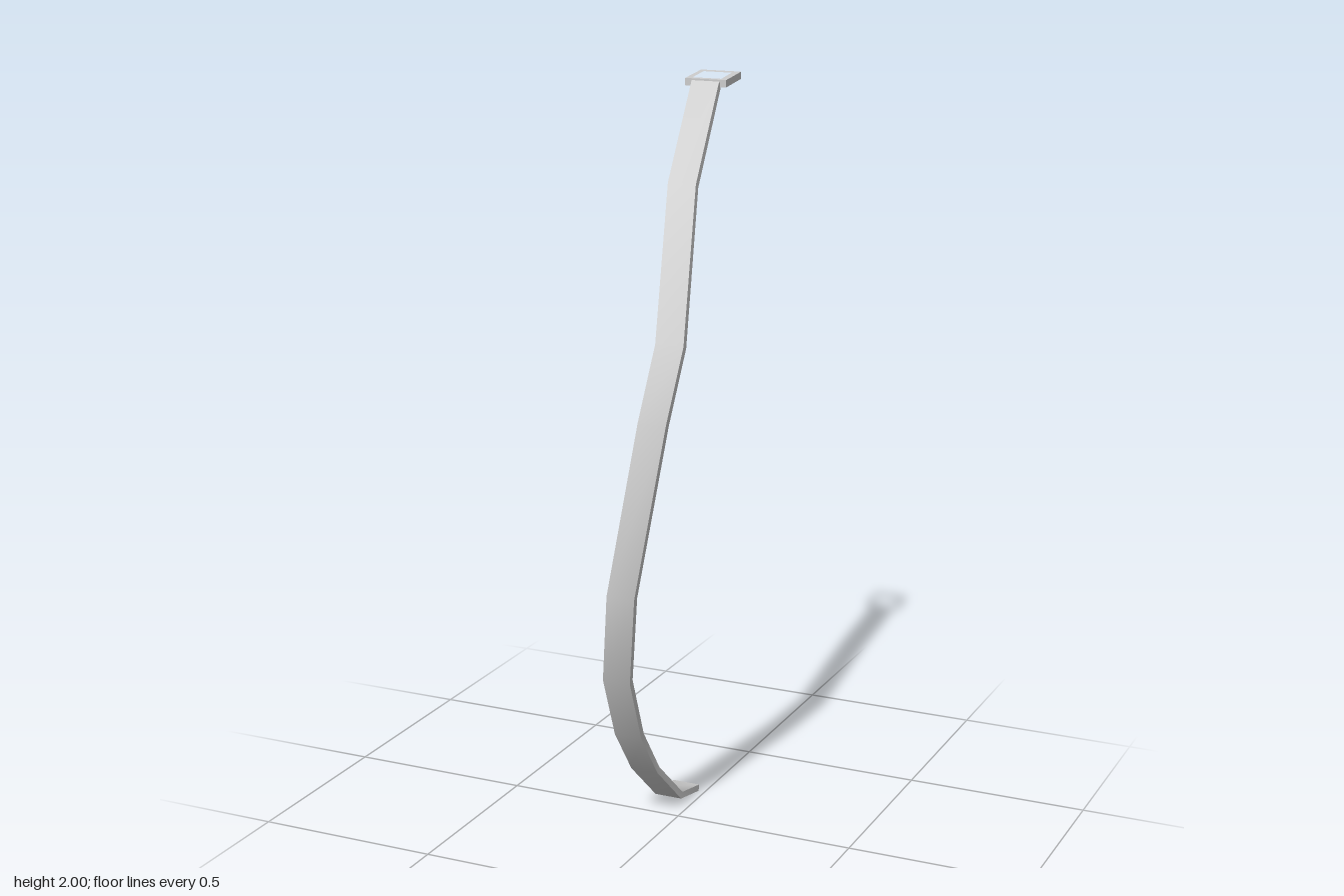
import * as THREE from 'three';
import { toCreasedNormals } from 'three/addons/utils/BufferGeometryUtils.js';

const HALF_WIDTH = 0.039, HALF_THICK = 0.009;

// Strap centreline stations, from the foot to the buckle: [x, y, z]
const STATIONS = [
  [-0.058, 0.013, -0.182], [-0.058, 0.036, -0.066], [-0.073, 0.156, 0.055],
  [-0.07, 0.294, 0.16], [-0.056, 0.482, 0.256], [-0.01, 0.738, 0.323],
  [0.053, 1.187, 0.266], [0.07, 1.375, 0.198], [0.022, 1.752, 0.018],
  [-0.01, 1.984, -0.198],
].map((p) => new THREE.Vector3(...p));

// Flat rectangular section swept along the stations, width kept along x
function strapGeometry() {
  const pos = [], index = [], n = STATIONS.length;
  // outward normal of segment i in the yz plane
  const segNormal = (i) => {
    const d = STATIONS[i + 1].clone().sub(STATIONS[i]);
    return new THREE.Vector3(0, -d.z, d.y).normalize();
  };
  STATIONS.forEach((p, i) => {
    const a = segNormal(Math.max(i - 1, 0)), b = segNormal(Math.min(i, n - 2));
    const m = a.clone().add(b).normalize();
    m.multiplyScalar(HALF_THICK / m.dot(a)); // mitred joint
    for (const [sx, so] of [[-1, 1], [1, 1], [1, -1], [-1, -1]]) {
      pos.push(p.x + sx * HALF_WIDTH, p.y + so * m.y, p.z + so * m.z);
    }
  });
  for (let i = 0; i < n - 1; i++) {
    for (let k = 0; k < 4; k++) {
      const a = i * 4 + k, b = i * 4 + (k + 1) % 4;
      index.push(a, b, b + 4, a, b + 4, a + 4);
    }
  }
  const e = (n - 1) * 4;
  index.push(0, 2, 1, 0, 3, 2, e, e + 1, e + 2, e, e + 2, e + 3); // end caps
  const g = new THREE.BufferGeometry();
  g.setAttribute('position', new THREE.Float32BufferAttribute(pos, 3));
  g.setIndex(index);
  return toCreasedNormals(g, 0.8);
}

// Skewed rectangular frame, corners given as [x, z]
function buckleGeometry() {
  const outline = (pts) => pts.map(([x, z]) => new THREE.Vector2(x, -z));
  const shape = new THREE.Shape(outline(
    [[-0.085, -0.333], [0.03, -0.333], [0.046, -0.197], [-0.07, -0.197]]));
  shape.holes.push(new THREE.Path(outline(
    [[-0.068, -0.31], [0.013, -0.31], [0.026, -0.213], [-0.056, -0.213]])));
  const g = new THREE.ExtrudeGeometry(shape, { depth: 0.019, bevelEnabled: false });
  g.rotateX(-Math.PI / 2);
  // slight rise towards the back
  const p = g.attributes.position;
  for (let i = 0; i < p.count; i++) {
    p.setY(i, p.getY(i) + 1.975 - 0.045 * (p.getZ(i) + 0.197));
  }
  g.computeVertexNormals();
  return g;
}

export function createModel() {
  const group = new THREE.Group();
  group.name = 'curvedStrap';
  const material = new THREE.MeshStandardMaterial({ color: 0xcccccc });
  const add = (name, geometry) => {
    const mesh = new THREE.Mesh(geometry, material);
    mesh.name = name;
    group.add(mesh);
  };
  add('strap', strapGeometry());
  add('buckle', buckleGeometry());
  return group;
}
